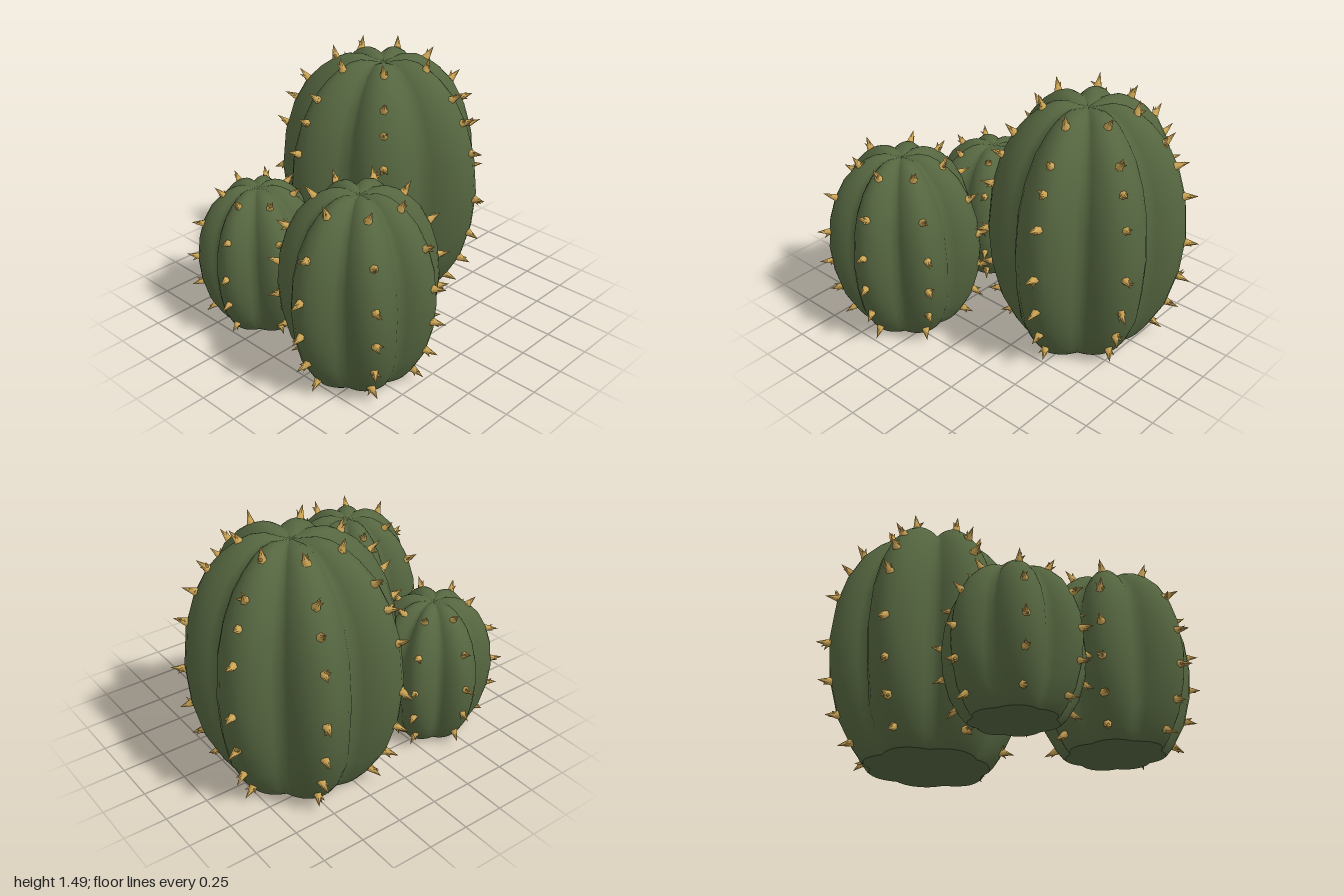
import * as THREE from 'three';

// Rib-crest profile of the largest cactus, [radius, height] from the crown centre down to the base centre
const PROFILE = [
  [0, 1.41], [0.07, 1.425], [0.15, 1.445], [0.22, 1.437], [0.29, 1.405], [0.37, 1.345], [0.46, 1.25],
  [0.54, 1.1], [0.595, 0.92], [0.62, 0.68], [0.6, 0.46], [0.54, 0.24], [0.45, 0.08], [0.4, 0.015],
  [0.38, 0], [0.38, 0], [0, 0],
];
const STEPS = 10; // columns per rib

// Each cactus: position, radius and height scale, ribs as [angle in degrees, reach], spine heights
const CACTI = [
  { name: 'tallCactus', at: [-0.22, 0, -0.39], r: 1, h: 1, spine: 1,
    ribs: [[13, 1.01], [60, 0.95], [114, 0.95], [161, 1.01], [207, 1.05], [255, 0.99], [313, 0.88]],
    rows: [0.09, 0.24, 0.43, 0.66, 0.95, 1.13, 1.26, 1.41] },
  { name: 'middleCactus', at: [0.39, 0.015, 0.45], r: 0.73, h: 0.738, spine: 0.95,
    ribs: [[14, 0.98], [62, 1], [116, 1], [167, 0.97], [215, 0.99], [273, 1.04], [324, 1]],
    rows: [0.08, 0.23, 0.42, 0.62, 0.84, 1.03] },
  { name: 'smallCactus', at: [-0.4, 0.01, 0.47], r: 0.6, h: 0.58, spine: 0.85,
    ribs: [[33, 1.03], [83, 1], [125, 1], [173, 0.96], [237, 0.98], [289, 1.04], [337, 1.1]],
    rows: [0.09, 0.26, 0.43, 0.64, 0.805] },
];

let seed = 7;
const rand = () => {
  seed = (seed * 16807) % 2147483647;
  return seed / 2147483647 - 0.5;
};
const { clamp, lerp, degToRad } = THREE.MathUtils;

// Ribbed body: rounded ribs with sharp grooves that shallow towards the base and sink into the crown
function bodyGeometry({ r, h, ribs }) {
  const cols = ribs.length * STEPS;
  const pos = [], index = [];
  PROFILE.forEach(([pr, py], i) => {
    const depth = 0.11 + 0.12 * Math.min(1, py / 0.5);
    const sink = 0.03 * clamp((py - 0.9) / 0.4, 0, 1) * clamp(pr / 0.2, 0, 1);
    for (let j = 0; j < cols; j++) {
      const k = Math.floor(j / STEPS), u = (j % STEPS) / STEPS;
      const [a0, s0] = ribs[k], [a1, s1] = ribs[(k + 1) % ribs.length];
      const a = degToRad(lerp(a0, a1 < a0 ? a1 + 360 : a1, u));
      const groove = 1 - Math.abs(Math.cos(Math.PI * u));
      const radius = pr * r * lerp(s0, s1, u) * (1 - depth * groove);
      pos.push(radius * Math.cos(a), (py - sink * groove) * h, -radius * Math.sin(a));
      if (i < PROFILE.length - 1) {
        const p = i * cols + j, q = i * cols + (j + 1) % cols;
        index.push(p, p + cols, q + cols, p, q + cols, q);
      }
    }
  });
  const g = new THREE.BufferGeometry();
  g.setAttribute('position', new THREE.Float32BufferAttribute(pos, 3));
  g.setIndex(index);
  g.computeVertexNormals();
  return g;
}

// Radius and outward direction of the rib crest at a given height
function crestAt(y, r, h) {
  let i = 3;
  while (PROFILE[i + 1][1] * h > y) i++;
  const [r0, y0] = PROFILE[i], [r1, y1] = PROFILE[i + 1];
  const radius = r * lerp(r0, r1, (y0 * h - y) / ((y0 - y1) * h));
  return { radius, n: new THREE.Vector2((y0 - y1) * h, (r1 - r0) * r).normalize() };
}

export function createModel() {
  const green = new THREE.MeshStandardMaterial({ color: 0x556640 });
  green.name = 'cactusGreen';
  const gold = new THREE.MeshStandardMaterial({ color: 0xd0a856 });
  gold.name = 'spineGold';

  // Spine cones stand on their base, slightly sunk into the skin
  const longCone = new THREE.ConeGeometry(0.028, 0.095, 6).translate(0, 0.032, 0);
  const shortCone = new THREE.ConeGeometry(0.02, 0.065, 5).translate(0, 0.02, 0);
  const up = new THREE.Vector3(0, 1, 0);

  const model = new THREE.Group();
  model.name = 'cactusCluster';
  for (const c of CACTI) {
    const cactus = new THREE.Group();
    cactus.name = c.name;
    cactus.position.set(...c.at);
    const body = new THREE.Mesh(bodyGeometry(c), green);
    body.name = 'ribbedBody';
    cactus.add(body);

    // Spines along every rib crest, each a long thorn with two short ones beside it
    const spines = new THREE.Group();
    spines.name = 'spines';
    for (const [deg, reach] of c.ribs) {
      const a = degToRad(deg);
      for (const row of c.rows) {
        const y = row - c.at[1];
        const { radius, n } = crestAt(y, c.r, c.h);
        for (const [geo, jitter] of [[longCone, 0.5], [shortCone, 1.4], [shortCone, 1.4]]) {
          const thorn = new THREE.Mesh(geo, gold);
          thorn.name = 'spine';
          thorn.position.set(radius * reach * Math.cos(a), y, -radius * reach * Math.sin(a));
          const dir = new THREE.Vector3(n.x * Math.cos(a), n.y, -n.x * Math.sin(a));
          dir.add(new THREE.Vector3(rand(), rand(), rand()).multiplyScalar(jitter)).normalize();
          thorn.quaternion.setFromUnitVectors(up, dir);
          thorn.scale.setScalar(c.spine);
          spines.add(thorn);
        }
      }
    }
    cactus.add(spines);
    model.add(cactus);
  }
  return model;
}
